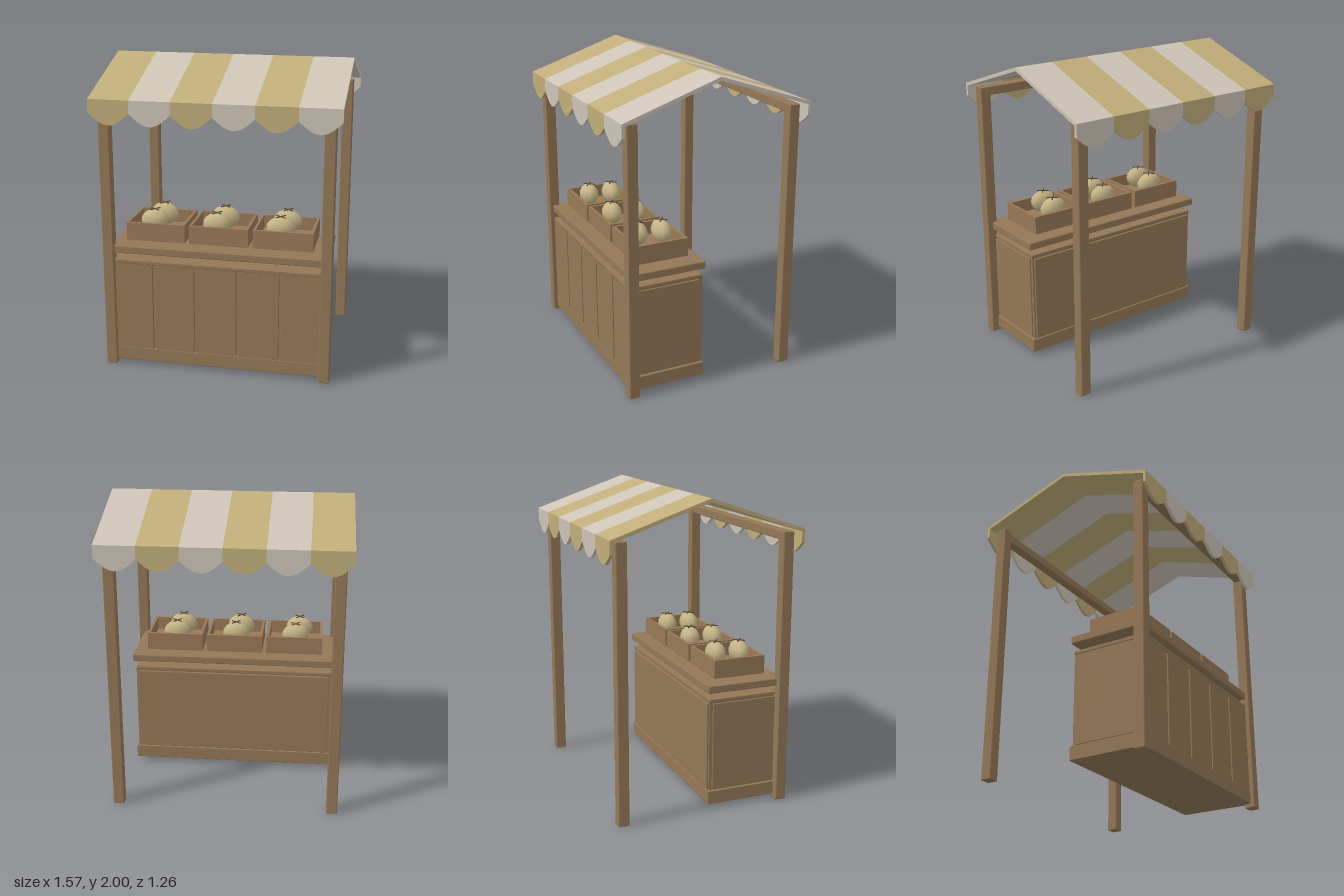
import * as THREE from 'three';
import { RoundedBoxGeometry } from 'three/addons/geometries/RoundedBoxGeometry.js';

const material = (name, color, extra = {}) => {
  const m = new THREE.MeshStandardMaterial({ color, ...extra });
  m.name = name;
  return m;
};

export function createModel() {
  const wood = material('wood', 0x937857);
  const crateWood = material('crateWood', 0x987857);
  const tan = material('tanCloth', 0xc0ad7a);
  const cream = material('creamCloth', 0xcdc4b6);
  const fruitSkin = material('fruitSkin', 0xc4b386);
  const stemBrown = material('stemBrown', 0x5c4a36);

  const model = new THREE.Group();
  model.name = 'marketStall';

  const add = (name, geometry, mat, parent = model) => {
    const mesh = new THREE.Mesh(geometry, mat);
    mesh.name = name;
    parent.add(mesh);
    return mesh;
  };
  // Box given by its minimum and maximum on each axis, with an optional bevel
  const box = (name, [x0, x1], [y0, y1], [z0, z1], mat, bevel = 0, parent = model) => {
    const size = [x1 - x0, y1 - y0, z1 - z0];
    const geometry = bevel
      ? new RoundedBoxGeometry(...size, 1, bevel)
      : new THREE.BoxGeometry(...size);
    const mesh = add(name, geometry, mat, parent);
    mesh.position.set((x0 + x1) / 2, (y0 + y1) / 2, (z0 + z1) / 2);
    return mesh;
  };

  // Four corner posts and the two eave beams
  for (const [z0, z1] of [[0.508, 0.58], [-0.578, -0.506]])
    for (const x of [-0.705, 0.705])
      box('post', [x - 0.036, x + 0.036], [0, 1.772], [z0, z1], wood, 0.008);
  box('frontBeam', [-0.7, 0.7], [1.71, 1.768], [0.52, 0.587], wood, 0.006);
  box('backBeam', [-0.7, 0.7], [1.71, 1.768], [-0.587, -0.52], wood, 0.006);

  // Counter: carcass, base, top trim, panels and floating worktop
  const counter = new THREE.Group();
  counter.name = 'counter';
  model.add(counter);
  box('counterBody', [-0.677, 0.677], [0.1, 0.715], [0.054, 0.537], wood, 0, counter);
  box('counterBase', [-0.695, 0.695], [0.028, 0.118], [0.042, 0.552], wood, 0.005, counter);
  box('counterTrim', [-0.682, 0.682], [0.706, 0.732], [0.05, 0.552], wood, 0.006, counter);
  box('backPanel', [-0.665, 0.665], [0.122, 0.702], [0.042, 0.06], wood, 0.004, counter);
  for (const s of [-1, 1])
    box('sidePanel', [s * 0.678 - 0.008, s * 0.678 + 0.008], [0.122, 0.702], [0.075, 0.53], wood, 0.004, counter);
  const pitch = 0.276;
  for (let i = -2; i <= 2; i++)
    box('frontPlank', [i * pitch - 0.131, i * pitch + 0.131], [0.114, 0.71], [0.53, 0.55], wood, 0.004, counter);
  box('worktop', [-0.702, 0.702], [0.775, 0.826], [0.036, 0.555], wood, 0.008, counter);

  // Open crates, each holding two fruits
  const fruitShape = new THREE.SphereGeometry(1, 12, 8);
  const wall = 0.018;
  for (const cx of [-0.418, -0.003, 0.412]) {
    const crate = new THREE.Group();
    crate.name = 'crate';
    crate.position.x = cx;
    model.add(crate);
    const hx = 0.193, z0 = 0.115, z1 = 0.465, y = [0.84, 0.96];
    box('crateFloor', [-hx + wall, hx - wall], [0.842, 0.872], [z0 + wall, z1 - wall], crateWood, 0, crate);
    box('crateFront', [-hx, hx], y, [z1 - wall, z1], crateWood, 0, crate);
    box('crateBack', [-hx, hx], y, [z0, z0 + wall], crateWood, 0, crate);
    box('crateLeft', [hx - wall, hx], y, [z0 + wall, z1 - wall], crateWood, 0, crate);
    box('crateRight', [-hx, -hx + wall], y, [z0 + wall, z1 - wall], crateWood, 0, crate);

    for (const [x, z, tilt] of [[-0.03, 0.362, 0.12], [-0.005, 0.205, -0.12]]) {
      const fruit = new THREE.Group();
      fruit.name = 'fruit';
      fruit.position.set(x, 0.955, z);
      crate.add(fruit);
      const skin = add('fruitBody', fruitShape, fruitSkin, fruit);
      skin.scale.set(0.094, 0.074, 0.061);
      skin.rotation.z = tilt;
      // Crossed twigs on top of the fruit
      for (const angle of [0.7, -0.9]) {
        const twig = add('stem', new THREE.CylinderGeometry(0.004, 0.004, 0.08, 6), stemBrown, fruit);
        twig.rotation.set(Math.PI / 2, 0, angle);
        twig.position.y = 0.075;
      }
    }
  }

  // Striped awning: gabled sheet with a scalloped valance on both eaves
  const awning = new THREE.Group();
  awning.name = 'awning';
  model.add(awning);
  const halfWidth = 0.783, stripes = 6, w = (2 * halfWidth) / stripes;
  const gable = new THREE.Shape([
    [-0.628, 1.79], [-0.608, 1.774], [0, 1.977], [0.608, 1.774], [0.628, 1.79], [0, 2],
  ].map(([z, y]) => new THREE.Vector2(z, y)));
  const roofGeometry = new THREE.ExtrudeGeometry(gable, { depth: w, bevelEnabled: false });
  roofGeometry.rotateY(-Math.PI / 2);

  const scallop = new THREE.Shape();
  scallop.moveTo(w / 2, 1.79);
  scallop.lineTo(-w / 2, 1.79);
  for (let i = 0; i <= 10; i++)
    scallop.lineTo(-w / 2 + (w * i) / 10, 1.707 - 0.077 * Math.sin((Math.PI * i) / 10));
  const valanceGeometry = new THREE.ExtrudeGeometry(scallop, { depth: 0.02, bevelEnabled: false });

  for (let i = 0; i < stripes; i++) {
    const cloth = i % 2 ? cream : tan;
    const left = -halfWidth + i * w;
    add('roofStripe', roofGeometry, cloth, awning).position.x = left + w;
    for (const z of [0.608, -0.628])
      add('valanceScallop', valanceGeometry, cloth, awning).position.set(left + w / 2, 0, z);
  }
  return model;
}
